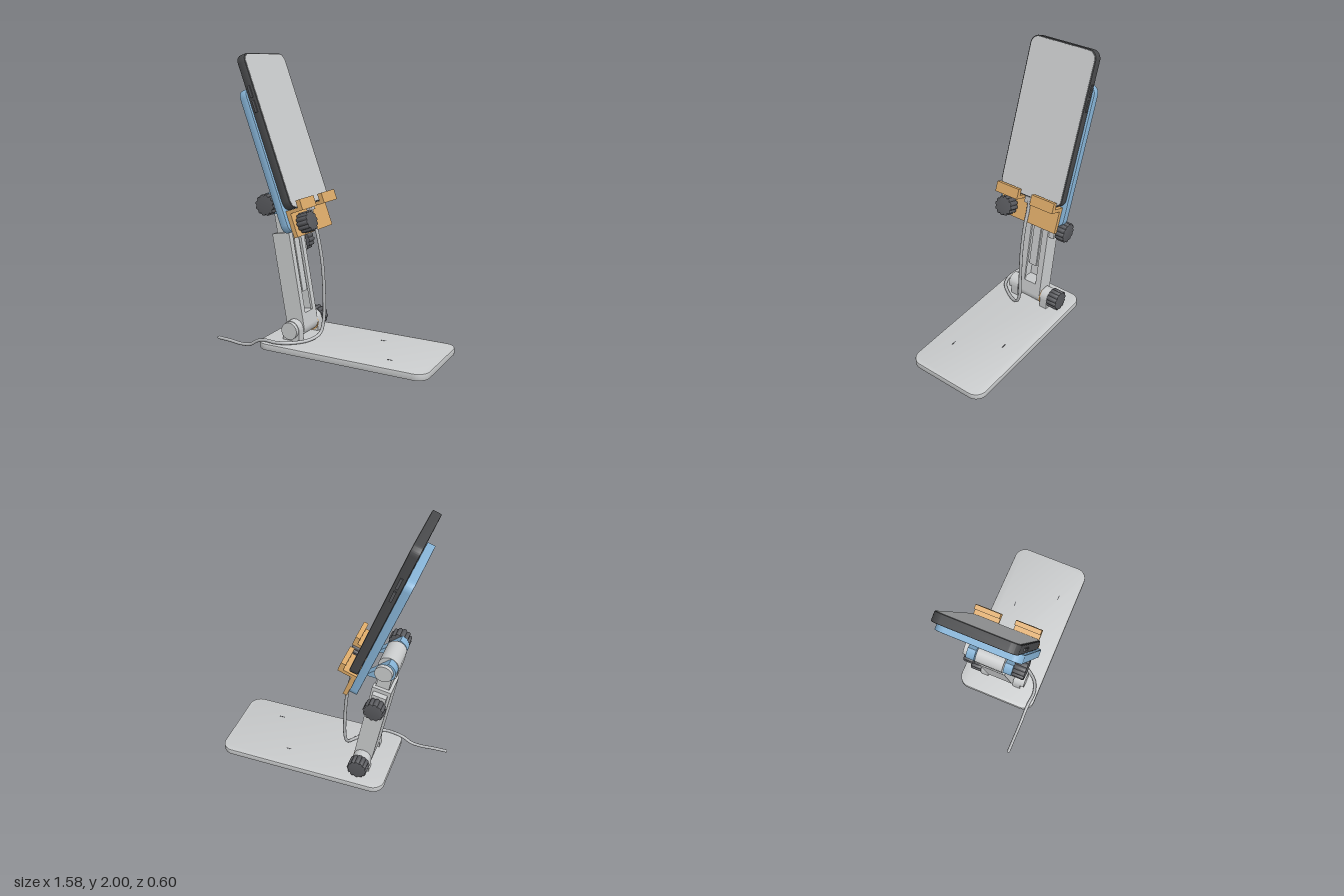
import * as THREE from 'three';
import { toCreasedNormals } from 'three/addons/utils/BufferGeometryUtils.js';

const mat = (name, color) => Object.assign(new THREE.MeshStandardMaterial({ color }), { name });

export function createModel() {
  const grey = mat('light grey', 0xc9cbcc);
  const blue = mat('blue', 0x86b3d6);
  const orange = mat('orange', 0xdba968);
  const dark = mat('dark grey', 0x58595d);
  const black = mat('phone black', 0x48494b);
  const cableGrey = mat('cable grey', 0xb6b8ba);

  const model = new THREE.Group();
  model.name = 'phoneStand';

  function add(parent, name, geometry, material, x = 0, y = 0, z = 0) {
    const mesh = new THREE.Mesh(geometry, material);
    mesh.name = name;
    mesh.position.set(x, y, z);
    parent.add(mesh);
    return mesh;
  }
  // Box given by its limits on each axis
  const box = (parent, name, m, x0, x1, y0, y1, z0, z1) =>
    add(parent, name, new THREE.BoxGeometry(x1 - x0, y1 - y0, z1 - z0), m,
      (x0 + x1) / 2, (y0 + y1) / 2, (z0 + z1) / 2);
  // Cylinder along z between two depths
  const pin = (parent, name, m, x, y, z0, z1, r) =>
    add(parent, name, new THREE.CylinderGeometry(r, r, z1 - z0, 32).rotateX(Math.PI / 2), m, x, y, (z0 + z1) / 2);

  function roundedRect(w, h, r) {
    const s = new THREE.Shape(), a = w / 2 - r, b = h / 2 - r;
    s.absarc(a, b, r, 0, Math.PI / 2);
    s.absarc(-a, b, r, Math.PI / 2, Math.PI);
    s.absarc(-a, -b, r, Math.PI, Math.PI * 1.5);
    s.absarc(a, -b, r, Math.PI * 1.5, Math.PI * 2);
    s.closePath();
    return s;
  }
  // Extrusion centred on z = 0, with an optional bevel kept inside the outline
  function extrude(shape, depth, bevel = 0) {
    const g = new THREE.ExtrudeGeometry(shape, {
      depth: depth - 2 * bevel, bevelEnabled: bevel > 0, bevelSize: bevel, bevelOffset: -bevel,
      bevelThickness: bevel, bevelSegments: 2, curveSegments: 10,
    });
    g.translate(0, 0, bevel - depth / 2);
    return toCreasedNormals(g, 0.6);
  }
  // Upright rounded plate whose thickness runs along x
  const plate = (parent, name, m, x0, x1, y0, y1, width, r, bevel) =>
    add(parent, name, extrude(roundedRect(width, y1 - y0, r), x1 - x0, bevel).rotateY(Math.PI / 2), m,
      (x0 + x1) / 2, (y0 + y1) / 2, 0);
  // Fluted hand knob with its axis along z
  function knobGeometry(radius, depth) {
    const pts = [];
    for (let i = 0; i < 96; i++) {
      const a = i / 96 * Math.PI * 2;
      const r = radius * (1 - 0.13 * Math.pow(0.5 - 0.5 * Math.cos(a * 12), 2));
      pts.push(new THREE.Vector2(Math.cos(a) * r, Math.sin(a) * r));
    }
    return extrude(new THREE.Shape(pts), depth, 0.006);
  }
  const knob = (parent, name, x, y, z0, z1) =>
    add(parent, name, knobGeometry(0.073, z1 - z0), dark, x, y, (z0 + z1) / 2);

  // Base slab with feet and small slots
  add(model, 'base', extrude(roundedRect(1.238, 0.6, 0.085), 0.044, 0.004).rotateX(-Math.PI / 2), grey, 0.165, 0.038, 0);
  for (const x of [-0.36, 0.69]) for (const z of [-0.21, 0.21]) {
    add(model, 'foot', new THREE.CylinderGeometry(0.036, 0.036, 0.006, 24), grey, x, 0.014, z);
  }
  box(model, 'baseSlot', dark, 0.285, 0.325, 0.058, 0.0615, -0.143, -0.137);
  box(model, 'baseSlot', dark, 0.467, 0.507, 0.058, 0.0615, 0.157, 0.163);

  // Lower hinge: lugs on the base, bolt cap and knob
  const px = -0.254, py = 0.135;
  for (const s of [-1, 1]) {
    const lug = new THREE.Shape();
    lug.moveTo(0.064, -0.08);
    lug.lineTo(0.064, 0);
    lug.absarc(0, 0, 0.064, 0, Math.PI);
    lug.lineTo(-0.064, -0.08);
    lug.closePath();
    add(model, 'baseLug', extrude(lug, 0.058), grey, px, py, s * 0.131);
  }
  pin(model, 'lowerBoltCap', grey, px, py, 0.16, 0.187, 0.06);
  pin(model, 'lowerWasher', orange, px + 0.006, py - 0.012, -0.102, -0.095, 0.064);
  knob(model, 'lowerKnob', px, py, -0.243, -0.16);

  // Telescopic arm leaning back from the lower hinge
  const arm = new THREE.Group();
  arm.name = 'arm';
  arm.position.set(px, py, 0);
  arm.rotation.z = THREE.MathUtils.degToRad(10);
  model.add(arm);
  pin(arm, 'armFoot', grey, 0, 0, -0.095, 0.095, 0.0675);
  box(arm, 'armFootBlock', grey, -0.0675, 0.0675, 0, 0.09, -0.095, 0.095);
  box(arm, 'sleeveBack', grey, -0.0675, -0.045, 0.09, 0.665, -0.095, 0.095);
  for (const s of [-1, 1]) {
    const [a, b] = s > 0 ? [0.07, 0.095] : [-0.095, -0.07];
    const [c, d] = s > 0 ? [0.05, 0.07] : [-0.07, -0.05];
    box(arm, 'sleeveSide', grey, -0.045, 0.0675, 0.09, 0.665, a, b);
    box(arm, 'sleeveLip', grey, 0.051, 0.0675, 0.09, 0.665, c, d);
  }
  box(arm, 'innerArm', grey, -0.042, 0.049, 0.235, 0.83, -0.068, 0.068);
  box(arm, 'innerArmRib', grey, 0.049, 0.062, 0.235, 0.83, -0.03, 0.03);
  box(arm, 'headBlock', grey, -0.069, 0.069, 0.805, 0.883, -0.095, 0.095);
  pin(arm, 'headBarrel', grey, 0, 0.883, -0.095, 0.095, 0.069);

  // Height clamp on the side of the sleeve
  box(arm, 'clampBlock', grey, -0.05, 0.05, 0.5, 0.635, -0.135, -0.094);
  pin(arm, 'clampScrew', dark, 0, 0.563, -0.155, -0.13, 0.025);
  knob(arm, 'clampKnob', 0, 0.563, -0.222, -0.15);

  // Tilted holder: local y runs up the phone, local x out of its screen
  const holder = new THREE.Group();
  holder.name = 'holder';
  holder.position.set(-0.18, 1.0, 0);
  holder.rotation.z = THREE.MathUtils.degToRad(20);
  model.add(holder);
  plate(holder, 'backPlate', blue, -0.117, -0.062, -0.145, 0.843, 0.534, 0.06, 0.004);

  // Upper hinge
  const hx = -0.205, hy = 0.08;
  for (const s of [-1, 1]) {
    const lug = new THREE.Shape();
    lug.moveTo(0.1, 0.075);
    lug.absarc(0, 0, 0.075, Math.PI / 2, Math.PI * 1.5);
    lug.lineTo(0.1, -0.1);
    lug.closePath();
    add(holder, 'holderLug', extrude(lug, 0.058), blue, hx, hy, s * 0.131);
  }
  pin(holder, 'upperBoltCap', grey, hx, hy, -0.187, -0.16, 0.06);
  knob(holder, 'upperKnob', hx, hy, 0.16, 0.243);

  // Phone
  plate(holder, 'phoneBody', black, -0.061, -0.001, 0, 1.065, 0.506, 0.06, 0.006);
  plate(holder, 'phoneScreen', grey, -0.002, 0.001, 0.009, 1.056, 0.486, 0.052, 0);
  for (const s of [-1, 1]) {
    box(holder, 'phoneButton', dark, -0.04, -0.022, 0.67, 0.75, s * 0.256 - 0.005, s * 0.256 + 0.005);
    box(holder, 'phoneButton', dark, -0.04, -0.022, 0.77, 0.85, s * 0.256 - 0.005, s * 0.256 + 0.005);
  }

  // Bottom clip with two hooked jaws
  box(holder, 'clipPlate', orange, -0.062, -0.032, -0.187, -0.001, -0.236, 0.236);
  for (const s of [-1, 1]) {
    const [a, b] = s > 0 ? [0.053, 0.236] : [-0.236, -0.053];
    box(holder, 'clipShelf', orange, -0.034, 0.067, -0.026, -0.001, a, b);
    box(holder, 'clipLip', orange, 0.034, 0.067, -0.001, 0.047, a, b);
  }
  const clipKnob = add(holder, 'clipKnob', knobGeometry(0.07, 0.085), dark, 0.019, -0.109, 0.153);
  clipKnob.rotation.y = Math.PI / 2;
  box(holder, 'plug', cableGrey, -0.03, -0.004, -0.045, 0, -0.034, 0.034);

  // Charging cable from the plug, across the base and away behind
  const path = new THREE.CatmullRomCurve3([
    [-0.182, 0.97, 0], [-0.165, 0.89, 0], [-0.135, 0.8, 0], [-0.097, 0.6, 0], [-0.082, 0.36, 0],
    [-0.083, 0.19, 0.006], [-0.092, 0.105, 0.04], [-0.13, 0.074, 0.12], [-0.22, 0.074, 0.24],
    [-0.31, 0.074, 0.274], [-0.4, 0.074, 0.268], [-0.46, 0.058, 0.265], [-0.52, 0.022, 0.265],
    [-0.6, 0.013, 0.265], [-0.69, 0.021, 0.265], [-0.785, 0.025, 0.265],
  ].map(p => new THREE.Vector3(...p)));
  add(model, 'cable', new THREE.TubeGeometry(path, 120, 0.0115, 10), cableGrey);
  add(model, 'cableEnd', new THREE.SphereGeometry(0.0115, 12, 8), cableGrey, -0.785, 0.025, 0.265);

  return model;
}
